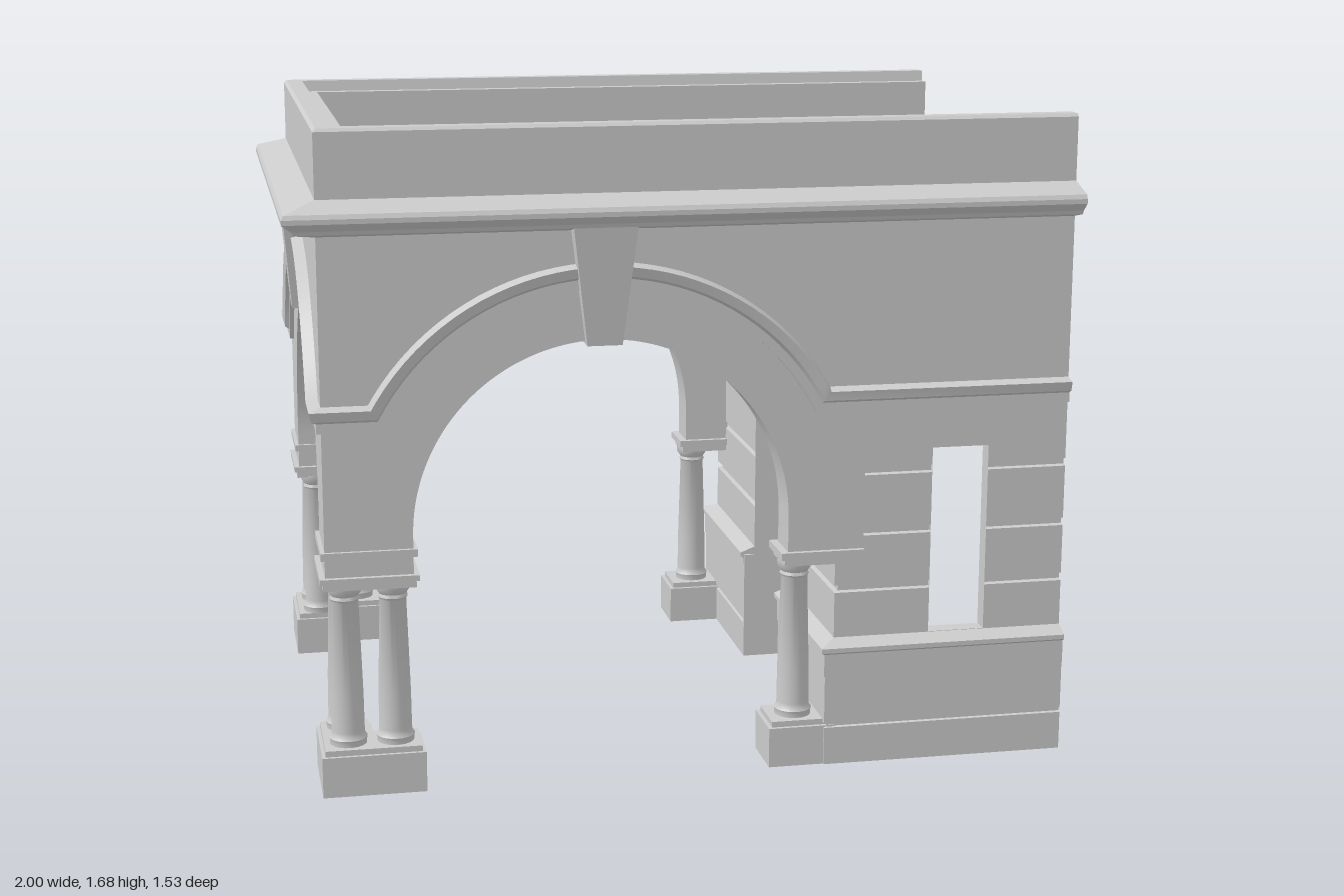
import * as THREE from 'three';
import { toCreasedNormals } from 'three/addons/utils/BufferGeometryUtils.js';

const stone = new THREE.MeshStandardMaterial({ color: 0xcccccc, side: THREE.DoubleSide });

function add(parent, name, geo) {
  const mesh = new THREE.Mesh(geo, stone);
  mesh.name = name;
  parent.add(mesh);
  return mesh;
}

function box(parent, name, x0, x1, y0, y1, z0, z1) {
  const g = new THREE.BoxGeometry(x1 - x0, y1 - y0, z1 - z0);
  return add(parent, name, g.translate((x0 + x1) / 2, (y0 + y1) / 2, (z0 + z1) / 2));
}

const polygon = pts => new THREE.Shape(pts.map(p => new THREE.Vector2(...p)));

// Upright prism from a plan outline in x, z
function prism(parent, name, plan, y0, y1) {
  const g = new THREE.ExtrudeGeometry(polygon(plan), { depth: y1 - y0, bevelEnabled: false });
  return add(parent, name, g.rotateX(Math.PI / 2).translate(0, y1, 0));
}

// Mitred sweep: profile [d, h] is offset by d across a flat path, map() places it in space
function sweep(path, profile, map) {
  const pos = [], idx = [], m = profile.length;
  const normal = (a, b) => {
    const l = Math.hypot(b[0] - a[0], b[1] - a[1]);
    return [-(b[1] - a[1]) / l, (b[0] - a[0]) / l];
  };
  path.forEach((p, i) => {
    const n1 = normal(path[Math.max(i - 1, 0)], path[Math.max(i, 1)]);
    const last = path.length - 1;
    const n2 = normal(path[Math.min(i, last - 1)], path[Math.min(i + 1, last)]);
    const k = 1 + n1[0] * n2[0] + n1[1] * n2[1];
    const nx = (n1[0] + n2[0]) / k, ny = (n1[1] + n2[1]) / k;
    for (const [d, h] of profile) pos.push(...map(p[0] + nx * d, p[1] + ny * d, h, i, last));
    if (i < last) for (let j = 0; j < m - 1; j++) {
      const a = i * m + j, b = a + m;
      idx.push(a, b, a + 1, b, b + 1, a + 1);
    }
  });
  const g = new THREE.BufferGeometry();
  g.setAttribute('position', new THREE.Float32BufferAttribute(pos, 3));
  g.setIndex(idx);
  return toCreasedNormals(g, 0.4);
}
const onPlan = (a, b, h) => [a, h, b];

const R = 0.48, SPRING = 0.665, TOP = 1.43, THICK = 0.105;

// String course that rises over the arch; mitre -1/+1 bends its ends at room corners
function archTrim(u0, u1, inside, mitreRight) {
  const r = 0.6425, y = 0.97, a = Math.asin((y - SPRING) / r), n = 36;
  const path = [[u0, y]];
  for (let i = 0; i <= n; i++) {
    const t = Math.PI - a - (Math.PI - 2 * a) * i / n;
    path.push([r * Math.cos(t), SPRING + r * Math.sin(t)]);
  }
  path.push([u1, y]);
  const profile = [[-0.032, 0], [-0.032, 0.012], [-0.007, 0.012], [0, 0.024], [0.024, 0.03], [0.032, 0]];
  const k = inside ? -1 : 1;
  return sweep(path, profile, (u, v, h, i, last) => {
    if (i === 0) u -= k * h;
    if (i === last && mitreRight) u += k * h;
    return [u, v, inside ? -THICK - h : h];
  });
}

// Arched wall, z = 0 is its outer face
function archBay(name, left, right, rightFoot, trimOut, trimIn, mitreRight) {
  const bay = new THREE.Group();
  bay.name = name;
  const shape = new THREE.Shape();
  shape.moveTo(left, 0.63).lineTo(-R, 0.63).lineTo(-R, SPRING);
  shape.absarc(0, SPRING, R, Math.PI, 0, true);
  shape.lineTo(R, rightFoot).lineTo(right, rightFoot).lineTo(right, TOP).lineTo(left, TOP);
  const wall = new THREE.ExtrudeGeometry(shape, { depth: THICK, bevelEnabled: false, curveSegments: 40 });
  add(bay, 'archWall', toCreasedNormals(wall.translate(0, 0, -THICK), 0.4));
  add(bay, 'outerArchTrim', archTrim(...trimOut, false, mitreRight));
  add(bay, 'innerArchTrim', archTrim(...trimIn, true, mitreRight));
  // Tapered keystone through the wall
  const key = new THREE.BoxGeometry(1, 1, 1), p = key.attributes.position;
  for (let i = 0; i < p.count; i++) {
    const up = p.getY(i) > 0;
    p.setXYZ(i, Math.sign(p.getX(i)) * (up ? 0.08 : 0.044), up ? TOP + 0.003 : 1.135,
      p.getZ(i) < 0 ? -0.127 : up ? 0.054 : 0.03);
  }
  key.computeVertexNormals();
  add(bay, 'keystone', key.toNonIndexed());
  return bay;
}

function column(parent, x, z) {
  const pts = [[0.047, 0.12], [0.047, 0.13], [0.049, 0.137], [0.043, 0.146], [0.042, 0.155], [0.041, 0.25],
    [0.034, 0.495], [0.038, 0.502], [0.035, 0.51], [0.045, 0.525], [0.045, 0.54]];
  const g = new THREE.LatheGeometry(pts.map(q => new THREE.Vector2(...q)), 24);
  add(parent, 'column', toCreasedNormals(g, 0.7)).position.set(x, 0, z);
}

// L-shaped corner block, grown outward by e
const cornerPlan = e => [[-0.92 - e, 0.68 + e], [-0.7 + e, 0.68 + e], [-0.7 + e, 0.575 - e],
  [-0.82 + e, 0.575 - e], [-0.82 + e, 0.48 - e], [-0.92 - e, 0.48 - e]];

const baseProfile = [[0.03, 0], [0.03, 0.1], [0.022, 0.102], [0.022, 0.11], [0.03, 0.112], [0.03, 0.24],
  [0.033, 0.24], [0.033, 0.3], [0.042, 0.306], [0.042, 0.318], [0, 0.335]];
const bandProfile = [[0, 0.33]];
for (const y of [0.455, 0.605, 0.765]) {
  bandProfile.push([0, y], [-0.012, y + 0.003], [-0.012, y + 0.017], [0, y + 0.02]);
}
const CROSS = 0.385;

// One long facade: arch, columns, rusticated window wall
function facade() {
  const f = new THREE.Group();
  const bay = archBay('longArch', -0.7, 0.61, 0.57, [-0.7, 1.22], [-0.6, 0.585], false);
  bay.position.set(-0.22, 0, 0.68);
  f.add(bay);

  // Corner pier
  for (const [y0, y1, e] of [[0, 0.105, 0.021], [0.105, 0.12, 0.012]]) {
    prism(f, 'cornerPedestal', cornerPlan(e), y0, y1);
  }
  for (const [y0, y1, e] of [[0.535, 0.553, 0.006], [0.553, 0.568, 0.014], [0.568, 0.615, 0], [0.615, 0.634, 0.01]]) {
    prism(f, 'cornerCapital', cornerPlan(e), y0, y1);
  }
  column(f, -0.87, 0.63);
  column(f, -0.75, 0.63);
  column(f, -0.87, 0.51);

  // Pier beside the building
  box(f, 'pedestal', 0.21, 0.385, 0, 0.105, 0.555, 0.705);
  box(f, 'pedestalTop', 0.22, 0.385, 0.105, 0.12, 0.565, 0.695);
  column(f, 0.29, 0.63);
  box(f, 'capital', 0.25, 0.46, 0.535, 0.553, 0.57, 0.686);
  box(f, 'capitalSlab', 0.24, 0.46, 0.553, 0.572, 0.56, 0.694);

  // Thin wall over and around the window
  const upper = polygon([[0.39, 0.57], [0.46, 0.57], [0.46, 0.785], [0.64, 0.785], [0.64, 0.83], [0.79, 0.83],
    [0.79, 0.785], [1, 0.785], [1, TOP], [0.39, TOP]]);
  add(f, 'windowWall', new THREE.ShapeGeometry(upper).translate(0, 0, 0.68));
  add(f, 'rusticBand', sweep([[0.64, 0.68], [0.79, 0.68]].map(([x, z]) => [x, z]), [[0, 0.33], [0, 0.336]], onPlan));
  add(f, 'rusticBand', sweep([[0.79, 0.68], [1, 0.68]], bandProfile, onPlan));
  add(f, 'windowReveal', sweep([[0.64, 0.336], [0.64, 0.83], [0.79, 0.83], [0.79, 0.336], [0.64, 0.336]],
    [[0, 0.68], [0, 0.635]], (a, b, h, i, last) => [a, b, h]));
  return f;
}

export function createModel() {
  const model = new THREE.Group();
  model.name = 'arcadedPorch';

  const front = facade();
  front.name = 'frontFacade';
  const back = facade();
  back.name = 'backFacade';
  back.scale.z = -1;
  model.add(front, back);

  const side = archBay('sideArch', -0.6, 0.6, 0.63, [-0.68, 0.68], [-0.575, 0.575], true);
  side.rotation.y = -Math.PI / 2;
  side.position.x = -0.92;
  model.add(side);

  // Cornice and parapet run round three sides
  const round = [[1, -0.68], [-0.92, -0.68], [-0.92, 0.68], [1, 0.68]];
  add(model, 'cornice', sweep(round, [[0, 1.42], [0.055, 1.432], [0.06, 1.442], [0.084, 1.462], [0.084, 1.474],
    [0.078, 1.485], [0, 1.51]], onPlan));
  add(model, 'parapet', sweep(round, [[0, 1.5], [0, 1.672], [-0.008, 1.68], [-0.05, 1.68], [-0.056, 1.65],
    [-0.09, 1.65], [-0.09, 1.53], [-0.06, 1.53]], onPlan));

  // Cross wall with the doorway
  const cross = new THREE.Group();
  cross.name = 'crossWall';
  model.add(cross);
  box(cross, 'upperWall', 0.365, 0.39, 0.78, 1.42, -0.68, 0.68);
  box(cross, 'innerStringCourse', 0.345, 0.365, 0.945, 0.995, -0.575, 0.575);
  for (const [s, door] of [[1, 0.215], [-1, 0.19]]) {
    const place = (a, b, h) => [a, h, b * s];
    add(cross, 'basePlinth', sweep([[CROSS, door], [CROSS, 0.68], [1, 0.68]], baseProfile, place));
    add(cross, 'rusticWall', sweep([[CROSS, door], [CROSS, 0.68], [0.64, 0.68]], bandProfile, place));
    const z = [door * s, (door + 0.008) * s].sort((a, b) => a - b);
    box(cross, 'plinthEnd', 0.355, CROSS, 0, 0.31, ...z);
  }
  add(cross, 'doorReveal', sweep([[0.215, 0], [0.215, 0.78], [-0.19, 0.78], [-0.19, 0]],
    [[0, CROSS], [0, 0.47]], (a, b, h) => [h, b, a]));
  return model;
}
